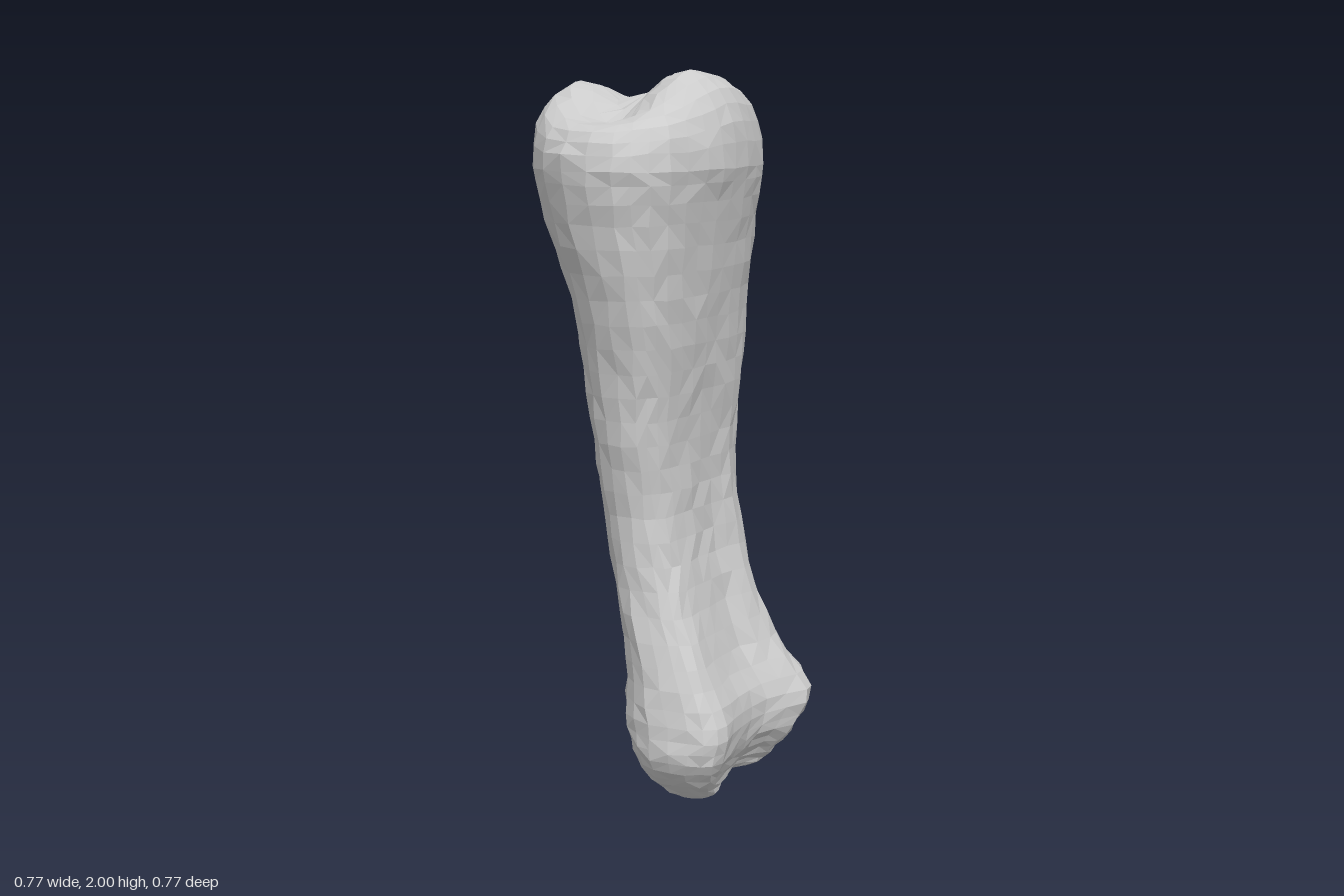
import * as THREE from 'three';

const SEGMENTS = 28;
const RIM_HEIGHT = 1.74;

// Outlines seen from above as (x, z), from the front round by the left side.
const headOutline = [
  [-.09, .39], [.02, .35], [.12, .22], [.19, .08], [.225, -.1], [.205, -.27],
  [.06, -.385], [-.1, -.355], [-.27, -.215], [-.37, -.08], [-.375, .1], [-.26, .315],
];
const shaftOutline = [
  [-.05, .26], [.01, .225], [.06, .13], [.105, 0], [.15, -.12], [.145, -.21],
  [.06, -.24], [-.06, -.22], [-.15, -.13], [-.2, 0], [-.205, .12], [-.15, .23],
];
const footOutline = [
  [.1, .36], [.19, .34], [.22, .2], [.27, .05], [.375, -.08], [.345, -.18],
  [.22, -.245], [.1, -.21], [.01, -.085], [-.07, .05], [-.1, .2], [-.03, .32],
];

// Sections from the foot up: y, min x, max x, min z, max z,
// and outline (0 head, 1 shaft, 2 foot, blended between).
const sections = [
  [.02, 0, .24, -.15, .25, 2],
  [.07, -.045, .29, -.18, .31, 2],
  [.15, -.08, .345, -.215, .362, 2],
  [.25, -.1, .382, -.25, .358, 2],
  [.4, -.105, .28, -.24, .32, 1.85],
  [.6, -.145, .2, -.22, .26, 1.5],
  [.8, -.18, .16, -.235, .24, 1.15],
  [1, -.205, .15, -.24, .26, 1],
  [1.2, -.235, .17, -.27, .285, .8],
  [1.4, -.27, .18, -.305, .33, .5],
  [1.6, -.345, .205, -.36, .365, .2],
  [RIM_HEIGHT, -.385, .225, -.388, .386, 0],
];

function seededRandom(seed) {
  return () => {
    seed = (seed * 16807) % 2147483647;
    return seed / 2147483647;
  };
}

const { lerp, clamp, smoothstep } = THREE.MathUtils;
const bell = (d, width) => Math.exp(-((d / width) ** 2));

// Smooth closed outline, stretched to fill the 0..1 square.
function unitOutline(points) {
  const curve = new THREE.CatmullRomCurve3(
    points.map(([x, z]) => new THREE.Vector3(x, 0, z)), true);
  return fill(Array.from({ length: SEGMENTS }, (_, j) => curve.getPoint(j / SEGMENTS)));
}

function fill(points) {
  const box = new THREE.Box3().setFromPoints(points);
  const size = box.getSize(new THREE.Vector3());
  return points.map((p) => new THREE.Vector3(
    (p.x - box.min.x) / size.x, 0, (p.z - box.min.z) / size.z));
}

// Height of the saddle-shaped joint surface on the head.
function headHeight(x, z) {
  return 1.97 - .07 * smoothstep(z, .04, .33)
    + .035 * bell(x - .05, .12) * bell(z, .14)
    + .015 * bell(x + .27, .08) * bell(z + .05, .15)
    - .055 * bell(x + .12, .09) * (1 - .7 * smoothstep(z, .15, .32))
    - .04 * bell(x + .2, .13) * bell(z - .15, .12);
}

// Interpolates one column of the section table.
function column(k, t) {
  const n = sections.length - 1;
  const i = Math.min(Math.floor(t), n - 1);
  const at = (m) => sections[clamp(m, 0, n)][k];
  const u = t - i, a = at(i), b = at(i + 1);
  const m0 = (b - at(i - 1)) / 2, m1 = (at(i + 2) - a) / 2;
  return a + u * m0 + u * u * (3 * (b - a) - 2 * m0 - m1) + u * u * u * (2 * (a - b) + m0 + m1);
}

function boneRings() {
  const outlines = [headOutline, shaftOutline, footOutline].map(unitOutline);
  const rings = [];
  const steps = 33;
  for (let s = 0; s <= steps; s++) {
    const [y, x0, x1, z0, z1, kind] =
      [0, 1, 2, 3, 4, 5].map((k) => column(k, s / steps * (sections.length - 1)));
    const from = kind < 1 ? 0 : 1;
    const outline = fill(outlines[from].map(
      (p, j) => p.clone().lerp(outlines[from + 1][j], kind - from)));
    rings.push(outline.map((p) => new THREE.Vector3(
      x0 + p.x * (x1 - x0), y, z0 + p.z * (z1 - z0))));
  }

  // Foot end closes inward
  const shrink = (ring, s, cx, cz, height) => ring.map((p) => {
    const x = cx + (p.x - cx) * s, z = cz + (p.z - cz) * s;
    return new THREE.Vector3(x, height(x, z), z);
  });
  const base = rings[0];
  for (const s of [.75, .4, 0]) rings.unshift(shrink(base, s, .11, .045, () => .004));

  // Groove between the two knuckles of the foot
  for (const p of rings.flat()) {
    p.y += .035 * bell(p.z - .03, .08) * (1 - smoothstep(p.y, .02, .2));
  }

  // Head end rounds over into the joint surface
  const rim = rings[rings.length - 1];
  for (const s of [.985, .95, .89, .8, .66, .48, .27, 0]) {
    const rise = Math.sqrt(1 - s ** 6);
    rings.push(shrink(rim, s, -.07, 0,
      (x, z) => lerp(RIM_HEIGHT, headHeight(x, z), rise)));
  }
  return rings;
}

function boneGeometry() {
  const rings = boneRings();
  const random = seededRandom(71);
  const jitter = () => (random() - .5) * .009;
  const positions = [], index = [];

  // Slight unevenness gives the surface its irregular facets
  rings.forEach((ring, i) => {
    const isTip = i === 0 || i === rings.length - 1;
    for (const p of ring) {
      if (isTip) positions.push(p.x, p.y, p.z);
      else positions.push(p.x + jitter(), p.y + jitter() * .6, p.z + jitter());
    }
  });

  for (let i = 0; i < rings.length - 1; i++) {
    for (let j = 0; j < SEGMENTS; j++) {
      const a = i * SEGMENTS + j, b = i * SEGMENTS + (j + 1) % SEGMENTS;
      const c = a + SEGMENTS, d = b + SEGMENTS;
      if (i === 0) index.push(a, d, c);
      else if (i === rings.length - 2) index.push(a, b, c);
      else if (random() < .5) index.push(a, b, d, a, d, c);
      else index.push(a, b, c, b, d, c);
    }
  }

  const geometry = new THREE.BufferGeometry();
  geometry.setAttribute('position', new THREE.Float32BufferAttribute(positions, 3));
  geometry.setIndex(index);

  // Stand on the ground, centred
  geometry.computeBoundingBox();
  const { min, max } = geometry.boundingBox;
  geometry.translate(-(min.x + max.x) / 2, -min.y, -(min.z + max.z) / 2);
  geometry.computeVertexNormals();
  return geometry;
}

export function createModel() {
  const group = new THREE.Group();
  group.name = 'legBone';
  const bone = new THREE.Mesh(boneGeometry(),
    new THREE.MeshStandardMaterial({ color: 0xcccccc, flatShading: true }));
  bone.name = 'bone';
  group.add(bone);
  return group;
}
